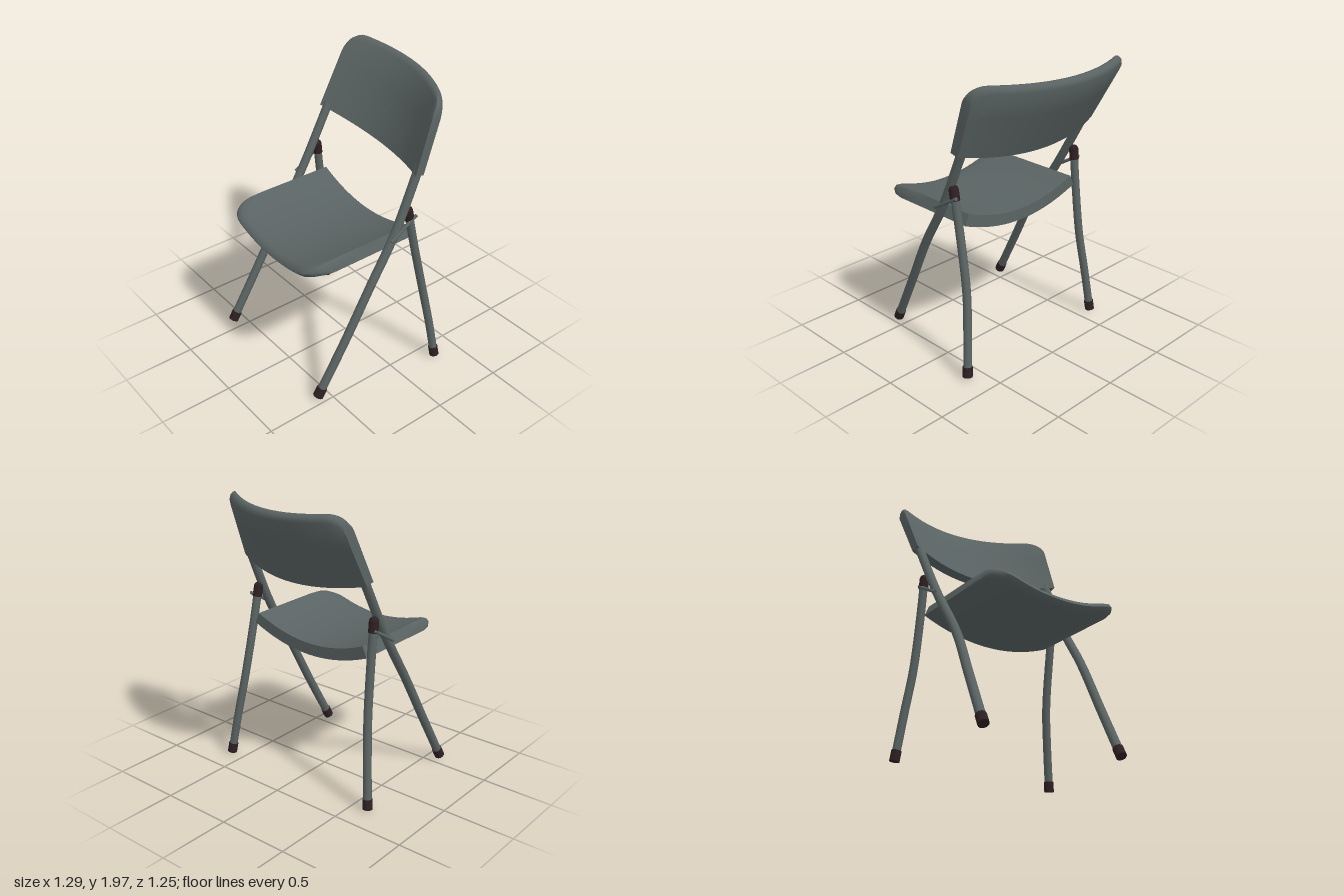
import * as THREE from 'three';
import { toCreasedNormals } from 'three/addons/utils/BufferGeometryUtils.js';

const V = (x, y, z) => new THREE.Vector3(x, y, z);

// Skin closed cross-section loops ordered along +x and cap both ends
function loft(loops) {
  const n = loops[0].length, last = loops.length - 1, pos = [], idx = [];
  loops.forEach((l) => l.forEach((p) => pos.push(p.x, p.y, p.z)));
  for (let i = 0; i < last; i++)
    for (let j = 0; j < n; j++) {
      const k = (j + 1) % n, a = i * n + j, b = a + n, c = (i + 1) * n + k, d = i * n + k;
      idx.push(a, b, c, a, c, d);
    }
  for (const i of [0, last]) {
    const mid = V(0, 0, 0);
    loops[i].forEach((p) => mid.addScaledVector(p, 1 / n));
    const m = pos.length / 3;
    pos.push(mid.x, mid.y, mid.z);
    for (let j = 0; j < n; j++) {
      const a = i * n + j, b = i * n + (j + 1) % n;
      if (i === 0) idx.push(m, a, b);
      else idx.push(m, b, a);
    }
  }
  const g = new THREE.BufferGeometry();
  g.setAttribute('position', new THREE.Float32BufferAttribute(pos, 3));
  g.setIndex(idx);
  return toCreasedNormals(g, 0.95);
}

// Columns across the width, packed closer at the ends for the rounded corners
function columns(x0, x1, count, make) {
  const loops = [];
  for (let i = 0; i <= count; i++) {
    const x = (x0 + x1) / 2 + (x1 - x0) / 2 * Math.sin((i / count - 0.5) * Math.PI);
    loops.push(make(x, Math.min(x - x0, x1 - x)));
  }
  return loft(loops);
}

// How far a corner of radius r cuts in at distance e from the end
const cornerCut = (e, r) => (e >= r ? 0 : r - Math.sqrt(Math.max(0, r * r - (r - e) ** 2)));

export function createModel() {
  const grey = new THREE.MeshStandardMaterial({ color: 0x5a6363 });
  grey.name = 'slate grey';
  const dark = new THREE.MeshStandardMaterial({ color: 0x2e2022 });
  dark.name = 'dark rubber';

  const chair = new THREE.Group();
  chair.name = 'foldingChair';
  const add = (name, geo, mat) => {
    const m = new THREE.Mesh(geo, mat);
    m.name = name;
    chair.add(m);
    return m;
  };
  const rod = (name, a, b, r, mat) => {
    const m = add(name, new THREE.CylinderGeometry(r, r, a.distanceTo(b), 14), mat);
    m.position.copy(a).lerp(b, 0.5);
    m.quaternion.setFromUnitVectors(V(0, 1, 0), b.clone().sub(a).normalize());
    return m;
  };

  // Seat: dished slab with rounded front corners and a rolled front edge
  const T = 0.08;
  add('seat', columns(-0.475, 0.445, 28, (x, e) => {
    const s = x + 0.012;
    const y = 0.978 + 0.47 * s * s;
    const normal = V(-0.94 * s, 1, 0).normalize();
    const back = -0.205 + 0.04 * (x + 0.475);
    const front = 0.617 + 0.04 * x - cornerCut(e, 0.13);
    const profile = [[front - 0.04, 0.008], [front - 0.12, 0], [0.2, 0], [back, 0],
      [back, T], [0.2, T], [front - 0.06, T], [front - 0.02, 0.07], [front, 0.045], [front - 0.01, 0.022]];
    return profile.map(([z, t]) => V(x, y, z).addScaledVector(normal, -t));
  }), grey);

  // Backrest: leaning, twisted curved panel with rounded top corners
  add('backrest', columns(-0.568, 0.542, 30, (x, e) => {
    const bottom = V(x, 1.455 + 0.18 * x * x - 0.02 * x, -0.295 + 0.37 * (x + 0.15) ** 2);
    const top = V(x, 1.958 + 0.09 * x * x - 0.035 * x, -0.57 + 0.55 * (x + 0.2) ** 2);
    const reach = 1 - cornerCut(e, 0.1) / 0.5;
    const profile = [[0, 0], [0.3, 0], [0.6, 0], [0.92, 0], [0.98, 0.15], [1, 0.4],
      [0.995, 0.75], [0.95, 1], [0.6, 1], [0.3, 1], [0, 1]];
    return profile.map(([v, t]) => bottom.clone().lerp(top, v * reach)
      .add(V(0, -t * (0.015 + 0.02 * v), -0.065 * t)));
  }), grey);

  // Bent tube legs; each path runs from the foot upwards
  const leg = (name, path, r) => {
    const curve = new THREE.CatmullRomCurve3(path, false, 'centripetal');
    add(name, new THREE.TubeGeometry(curve, 28, r, 14), grey);
    const up = curve.getTangent(0);
    rod(name + 'Foot', path[0].clone().addScaledVector(up, -0.012),
      path[0].clone().addScaledVector(up, 0.058), r + 0.005, dark);
    return curve;
  };
  leg('rightFrontLeg', [V(-0.58, 0.035, 0.58), V(-0.55, 0.4, 0.385), V(-0.526, 0.72, 0.215),
    V(-0.527, 1.1, -0.03), V(-0.53, 1.54, -0.275)], 0.03);
  leg('leftFrontLeg', [V(0.447, 0.035, 0.58), V(0.475, 0.4, 0.385), V(0.497, 0.78, 0.19),
    V(0.502, 1.1, 0.005), V(0.5, 1.54, -0.19)], 0.03);
  const rearLegs = [
    ['rightRearLeg', [V(-0.615, 0.03, -0.31), V(-0.58, 0.35, -0.275), V(-0.552, 0.62, -0.24),
      V(-0.54, 0.95, -0.205), V(-0.537, 1.25, -0.175)]],
    ['leftRearLeg', [V(0.608, 0.03, -0.31), V(0.57, 0.32, -0.275), V(0.536, 0.58, -0.235),
      V(0.514, 0.95, -0.16), V(0.506, 1.24, -0.1)]],
  ];

  // Rear legs carry a dark rounded hinge cap on top
  for (const [name, path] of rearLegs) {
    const curve = leg(name, path, 0.028);
    const tip = path[4], tan = curve.getTangent(1);
    rod(name + 'HingeCap', tip.clone().addScaledVector(tan, -0.07), tip, 0.032, dark);
    const dome = add(name + 'HingeDome', new THREE.SphereGeometry(0.032, 14, 10), dark);
    dome.position.copy(tip);
  }

  // Folding straps linking front and rear legs
  rod('rightStrap', V(-0.56, 1.08, 0.0), V(-0.56, 1.2, -0.2), 0.011, grey);
  rod('leftStrap', V(0.532, 1.08, 0.055), V(0.532, 1.2, -0.15), 0.011, grey);
  return chair;
}
